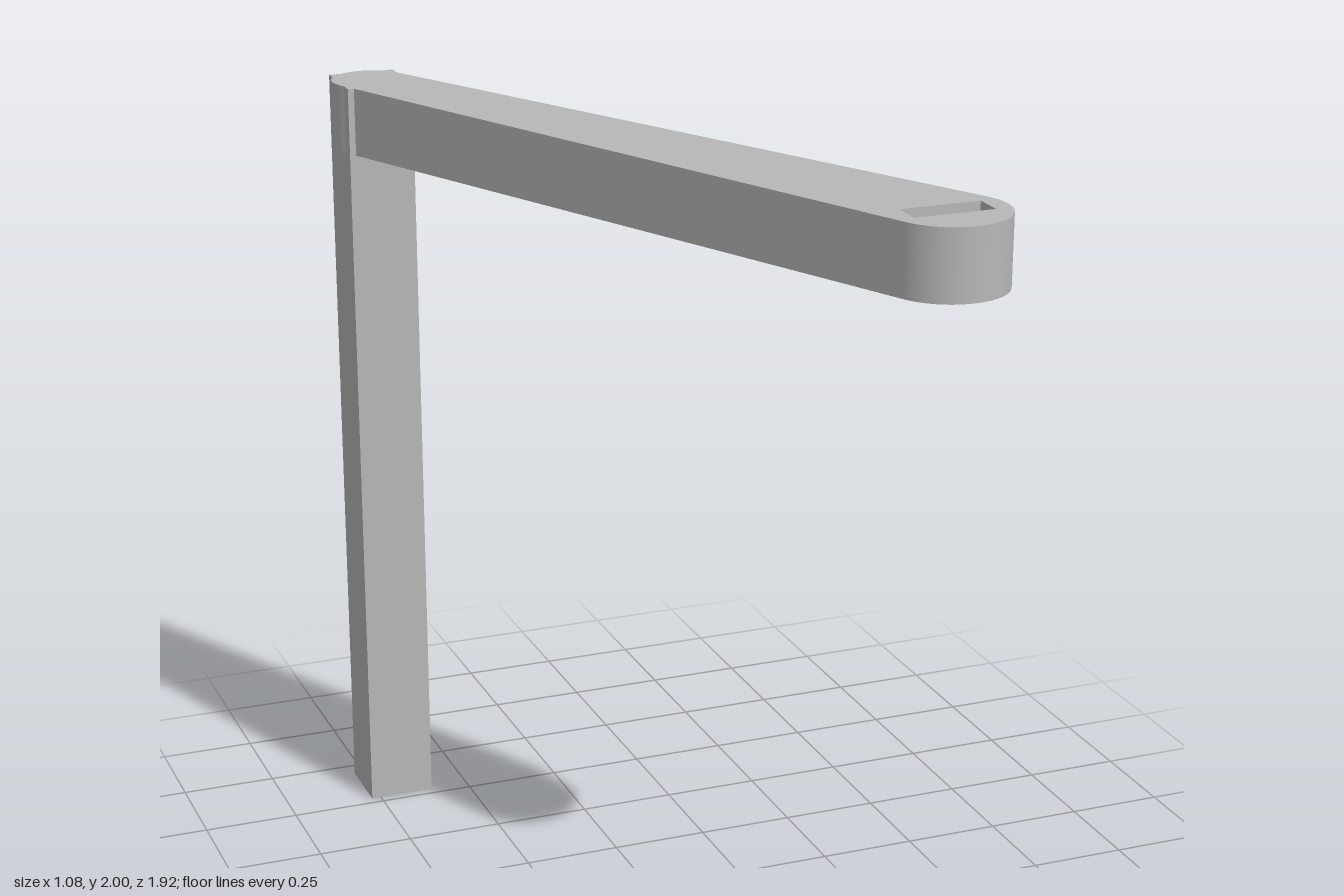
import * as THREE from 'three';

export function createModel() {
  const group = new THREE.Group();
  const grey = new THREE.MeshStandardMaterial({ color: 0xb8b8b8 });
  grey.name = 'grey';

  const top = 2, thickness = 0.175;

  // Square upright post, flush with the top of the arm
  const post = new THREE.Mesh(new THREE.BoxGeometry(0.172, top, 0.174), grey);
  post.name = 'post';
  post.position.set(-0.439, top / 2, -0.862);
  group.add(post);

  // Tapered arm outline: two round ends joined by their common tangents (shape y becomes z)
  const small = { x: -0.44, z: -0.864, r: 0.1 };
  const big = { x: 0.39, z: 0.815, r: 0.146 };
  const dx = big.x - small.x, dz = big.z - small.z;
  const heading = Math.atan2(dz, dx);
  const spread = Math.acos((small.r - big.r) / Math.hypot(dx, dz));
  // The tangent normals lean towards the small end, so the big end wraps past half a turn
  const outline = new THREE.Shape();
  outline.absarc(big.x, big.z, big.r, heading - spread, heading + spread, false);
  outline.absarc(small.x, small.z, small.r, heading + spread, heading - spread + Math.PI * 2, false);
  outline.closePath();

  // Rectangular slot through the big end
  const slot = new THREE.Path();
  slot.moveTo(0.29, 0.775);
  slot.lineTo(0.29, 0.85);
  slot.lineTo(0.49, 0.85);
  slot.lineTo(0.49, 0.775);
  slot.closePath();
  outline.holes.push(slot);

  const armGeometry = new THREE.ExtrudeGeometry(outline, {
    depth: thickness, bevelEnabled: false, curveSegments: 40,
  });
  armGeometry.rotateX(Math.PI / 2);
  const arm = new THREE.Mesh(armGeometry, grey);
  arm.name = 'arm';
  arm.position.y = top;
  group.add(arm);

  return group;
}
